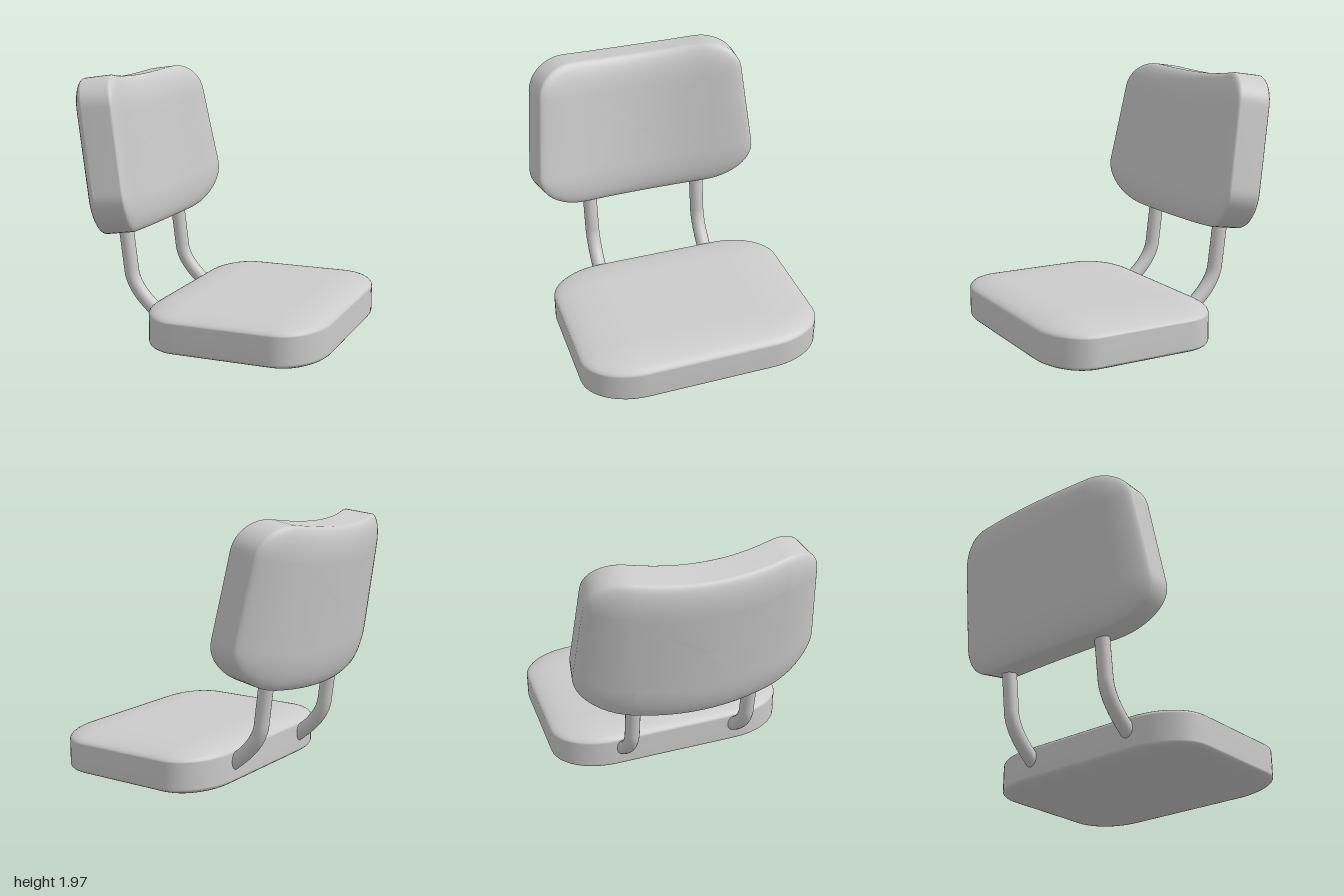
import * as THREE from 'three';

const material = new THREE.MeshStandardMaterial({ color: 0xcccccc, side: THREE.DoubleSide });

// Outline of a cushion as core points (x, y) plus corner offsets (dx, dy), anticlockwise.
// Each corner is [core x, core y, radius x, radius y].
function cushionOutline(corners, cornerSteps = 12, edgeSteps = 12) {
  const points = [];
  corners.forEach(([cx, cy, rx, ry], i) => {
    const at = (c, a) => ({ x: c[0], y: c[1], dx: c[2] * Math.cos(a), dy: c[3] * Math.sin(a) });
    const start = i * Math.PI / 2;
    for (let j = 0; j <= cornerSteps; j++) {
      points.push(at(corners[i], start + (j / cornerSteps) * Math.PI / 2));
    }
    const from = at(corners[i], start + Math.PI / 2);
    const to = at(corners[(i + 1) % 4], start + Math.PI / 2);
    for (let j = 1; j < edgeSteps; j++) {
      const t = j / edgeSteps, p = {};
      for (const key of ['x', 'y', 'dx', 'dy']) p[key] = from[key] + (to[key] - from[key]) * t;
      points.push(p);
    }
  });
  return points;
}

// Upholstered pad: straight side wall, softly domed on both faces; place() maps (u, v, w) to space.
function cushion(corners, wall, dome, place) {
  const outline = cushionOutline(corners);
  const half = [];
  for (const k of [0, 0.25, 0.5, 0.75]) half.push({ k, s: 0, w: wall + dome });
  for (let i = 0; i <= 12; i++) {
    const a = (i / 12) * Math.PI / 2;
    half.push({ k: 1, s: Math.sin(a), w: wall + dome * Math.cos(a) });
  }
  const rings = [...half.map(r => ({ ...r, w: -r.w })), ...half.slice().reverse()];
  const positions = [], index = [], n = outline.length;
  rings.forEach(({ k, s, w }, r) => {
    outline.forEach((p, i) => {
      positions.push(...place(p.x * k + p.dx * s, p.y * k + p.dy * s, w));
      if (r === 0) return;
      const a = (r - 1) * n + i, b = (r - 1) * n + (i + 1) % n;
      index.push(a, b, b + n, a, b + n, a + n);
    });
  });
  const geometry = new THREE.BufferGeometry();
  geometry.setAttribute('position', new THREE.Float32BufferAttribute(positions, 3));
  geometry.setIndex(index);
  geometry.computeVertexNormals();
  return geometry;
}

function addMesh(parent, name, geometry) {
  const mesh = new THREE.Mesh(geometry, material);
  mesh.name = name;
  parent.add(mesh);
  return mesh;
}

export function createModel() {
  const group = new THREE.Group();
  group.name = 'seatWithBackrest';

  // Seat cushion, lying flat
  const sz = 0.49, sx = 0.37, rz = 0.437, rx = 0.31;
  const seat = addMesh(group, 'seat', cushion(
    [[sz, sx, rz, rx], [-sz, sx, rz, rx], [-sz, -sx, rz, rx], [sz, -sx, rz, rx]],
    0.097, 0.08, (u, v, w) => [v, w, u]));
  seat.position.set(0.32, 0.177, 0);

  // Backrest, tapering upward, wrapped forward at the sides and leaning back
  const halfWidth = 0.855, halfHeight = 0.58;
  const corner = (signX, signY, cx, cy) =>
    [signX * (halfWidth - cx), signY * (halfHeight - cy), cx, cy];
  const backrest = addMesh(group, 'backrest', cushion(
    [corner(1, 1, 0.3, 0.25), corner(-1, 1, 0.3, 0.25),
      corner(-1, -1, 0.38, 0.28), corner(1, -1, 0.38, 0.28)],
    0.1, 0.075, (u, v, w) => {
      const side = u * (1 - 0.12 * v);
      return [w + 0.26 * side * side, v + 0.1 * side * side, -side * (1 - 0.2 * w)];
    }));
  backrest.position.set(-0.76, 1.345, 0.035);
  backrest.rotation.z = 0.138;

  // Two bent tubes joining the seat to the backrest
  const path = new THREE.CurvePath();
  const v3 = (x, y) => new THREE.Vector3(x, y, 0);
  path.add(new THREE.LineCurve3(v3(-0.635, 1.0), v3(-0.573, 0.5)));
  path.add(new THREE.QuadraticBezierCurve3(v3(-0.573, 0.5), v3(-0.545, 0.34), v3(-0.3, 0.17)));
  for (const [name, z] of [['leftSupport', 0.475], ['rightSupport', -0.43]]) {
    const tube = addMesh(group, name, new THREE.TubeGeometry(path, 40, 0.055, 20, false));
    tube.position.z = z;
  }
  return group;
}
